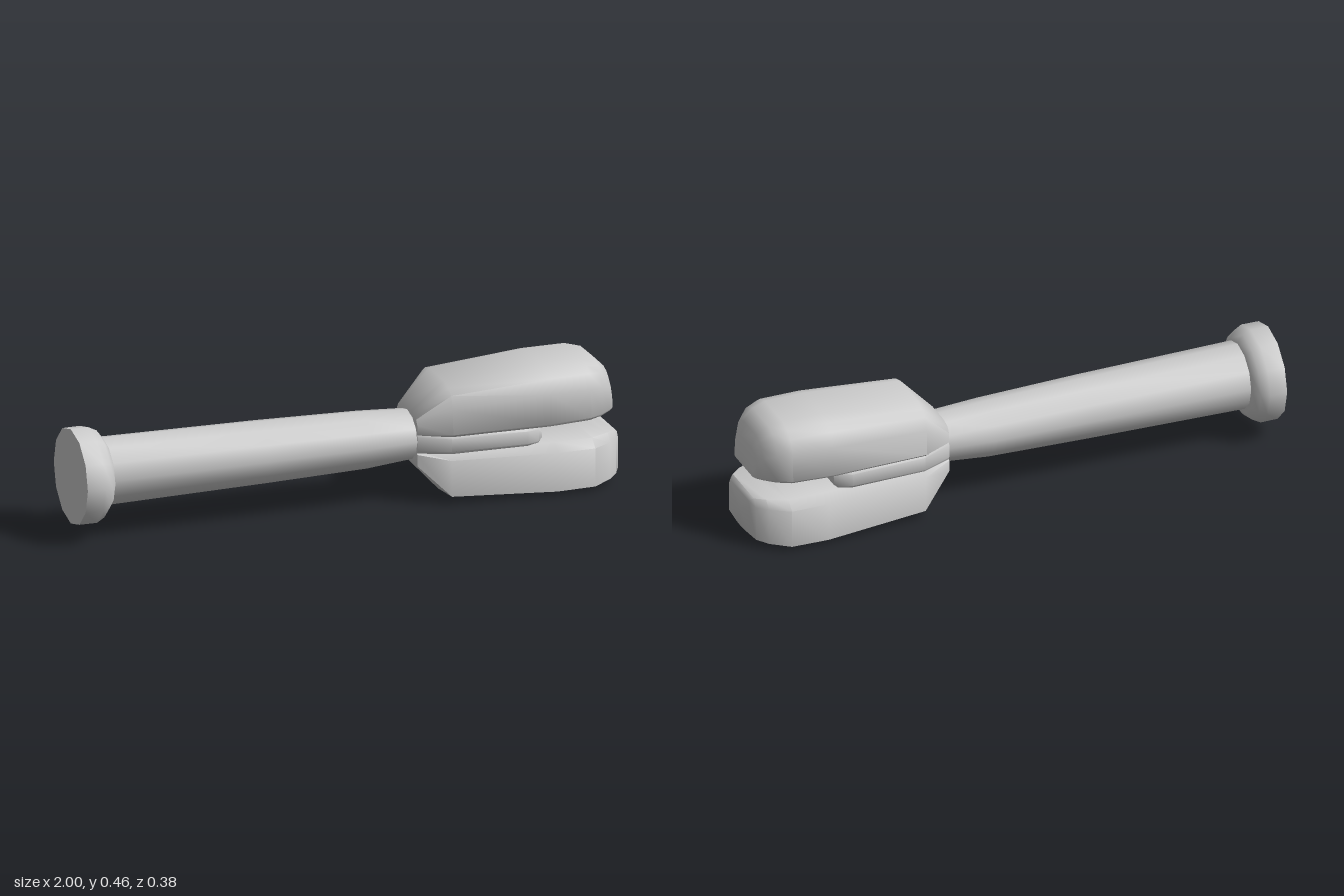
import * as THREE from 'three';
import { toCreasedNormals } from 'three/addons/utils/BufferGeometryUtils.js';

const material = new THREE.MeshStandardMaterial({ color: 0xcccccc });

// Closed loft along x. Outline points are [height 0..1, z -1..1], running from top towards +z;
// stations are [x, bottom, top, halfWidth].
function loft(name, outline, stations, crease = 0.75) {
  const n = outline.length, pos = [], index = [];
  for (const [x, y0, y1, w] of stations)
    for (const [t, z] of outline) pos.push(x, y0 + t * (y1 - y0), z * w);
  for (let i = 0; i < stations.length - 1; i++)
    for (let j = 0; j < n; j++) {
      const k = (j + 1) % n;
      const a = i * n + j, b = i * n + k, c = b + n, d = a + n;
      index.push(a, b, c, a, c, d);
    }
  // End caps
  const last = (stations.length - 1) * n;
  for (const [start, flip] of [[0, true], [last, false]]) {
    const [x, y0, y1] = stations[start / n];
    const centre = pos.length / 3;
    pos.push(x, (y0 + y1) / 2, 0);
    for (let j = 0; j < n; j++) {
      const a = start + j, b = start + (j + 1) % n;
      index.push(centre, flip ? b : a, flip ? a : b);
    }
  }
  const geometry = new THREE.BufferGeometry();
  geometry.setAttribute('position', new THREE.Float32BufferAttribute(pos, 3));
  geometry.setIndex(index);
  const mesh = new THREE.Mesh(toCreasedNormals(geometry, crease), material);
  mesh.name = name;
  return mesh;
}

// Completes a +z half outline by mirroring it to -z
const mirrored = (half) => [...half, ...half.map(([t, z]) => [t, -z]).reverse()];

const round = Array.from({ length: 12 }, (_, i) => {
  const a = (i / 12) * Math.PI * 2;
  return [0.5 + 0.5 * Math.cos(a), Math.sin(a)];
});

export function createModel() {
  const group = new THREE.Group();
  group.name = 'clampTool';

  // Shaft tapering towards the jaws
  group.add(loft('shaft', round, [
    [-0.92, 0.103, 0.348, 0.122], [-0.3, 0.113, 0.338, 0.117],
    [0.08, 0.122, 0.327, 0.111], [0.27, 0.14, 0.315, 0.103],
  ]));

  // Flared knob at the end of the shaft
  group.add(loft('endKnob', round, [
    [-1, 0.045, 0.393, 0.172], [-0.935, 0.045, 0.393, 0.175],
    [-0.905, 0.062, 0.378, 0.162], [-0.885, 0.09, 0.352, 0.138],
  ], 0.9));

  // Upper jaw: domed top, flat underside, rounded nose
  const domed = mirrored([[1, 0.45], [0.93, 0.7], [0.82, 0.87], [0.57, 0.98], [0.06, 1], [0, 0.92]]);
  group.add(loft('upperJaw', domed, [
    [0.25, 0.25, 0.32, 0.105], [0.36, 0.25, 0.432, 0.168], [0.72, 0.25, 0.459, 0.18],
    [0.87, 0.255, 0.459, 0.177], [0.92, 0.258, 0.447, 0.155],
    [0.96, 0.26, 0.41, 0.12], [0.975, 0.26, 0.36, 0.1], [0.983, 0.262, 0.3, 0.085],
  ], 0.9));

  // Lower jaw: boxier, with a shallow keel
  const boxy = mirrored([[1, 0.83], [0.84, 1], [0.08, 1], [0, 0.15]]);
  group.add(loft('lowerJaw', boxy, [
    [0.25, 0.135, 0.19, 0.105], [0.36, 0.016, 0.19, 0.155], [0.74, 0, 0.187, 0.19],
    [0.88, 0.002, 0.187, 0.19], [0.95, 0.008, 0.186, 0.148],
    [0.985, 0.016, 0.184, 0.115], [1, 0.035, 0.172, 0.095],
  ], 0.9));

  // Flat tongue between the jaws
  const slab = mirrored([[1, 0.95], [0.85, 1], [0.15, 1], [0, 0.95]]);
  group.add(loft('tongue', slab, [
    [0.25, 0.185, 0.255, 0.105], [0.36, 0.185, 0.252, 0.155],
    [0.64, 0.185, 0.25, 0.165], [0.685, 0.186, 0.247, 0.15], [0.7, 0.198, 0.232, 0.138],
  ]));

  return group;
}
